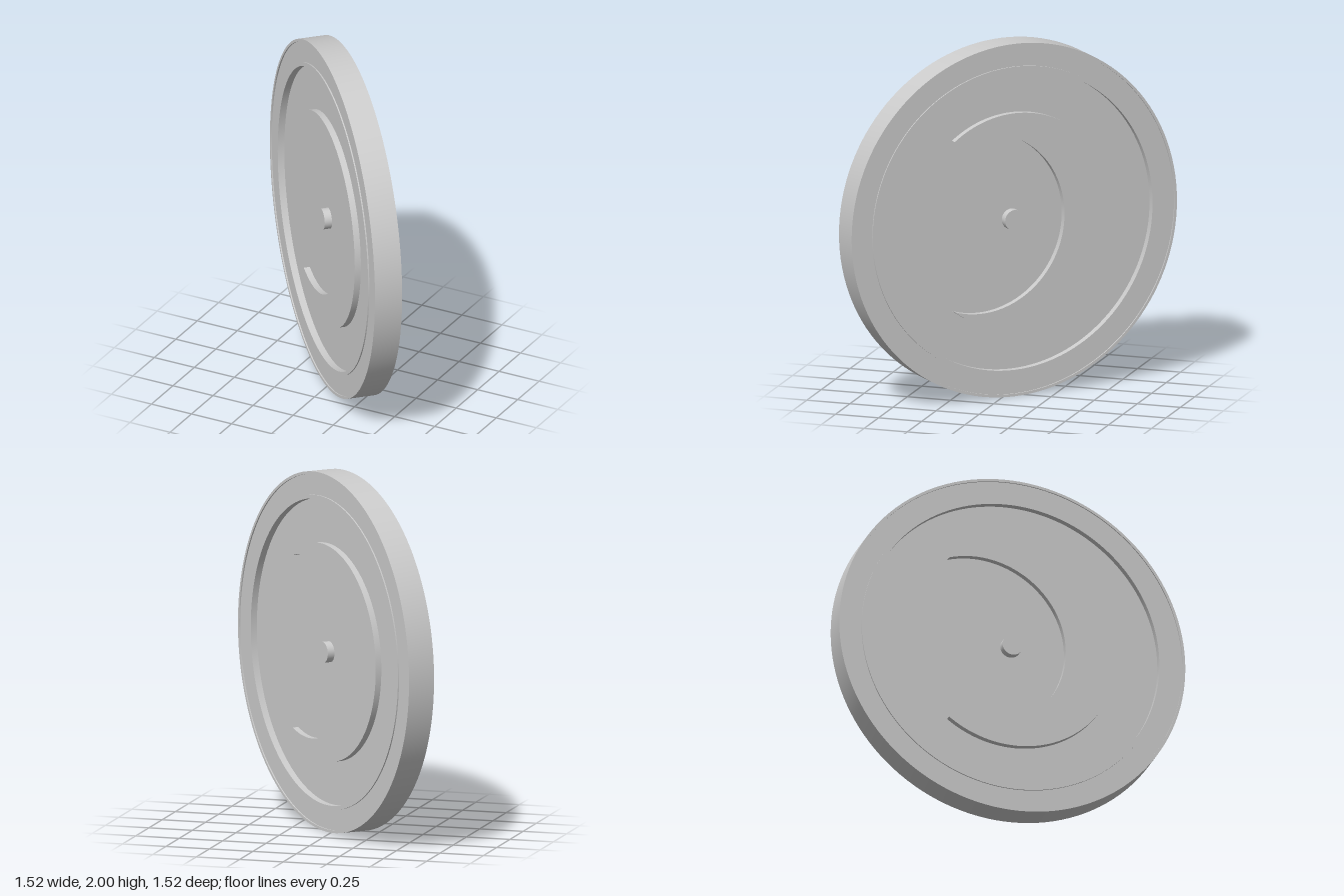
import * as THREE from 'three';
import { toCreasedNormals } from 'three/addons/utils/BufferGeometryUtils.js';

const FLOOR = 0.04; // distance of the recessed floor from the mid plane
const LIP = 0.078; // half thickness at the raised lips
const CHANNEL = 0.071; // shallow band between the lips

export function createModel() {
  const grey = new THREE.MeshStandardMaterial({ color: 0xcccccc });
  grey.name = 'light grey';

  const model = new THREE.Group();
  model.name = 'discModel';
  const disc = new THREE.Group();
  disc.name = 'disc';
  disc.position.y = 1;
  disc.rotation.y = -Math.PI / 4;
  model.add(disc);

  // Body: half profile from the centre to the rim, mirrored for the other side
  const half = [
    [0, FLOOR], [0.85, FLOOR], [0.85, LIP], [0.87, LIP],
    [0.87, CHANNEL], [0.985, CHANNEL], [0.985, LIP], [1, LIP],
  ];
  const profile = [
    ...half.map(([r, h]) => new THREE.Vector2(r, -h)),
    ...half.slice().reverse().map(([r, h]) => new THREE.Vector2(r, h)),
  ];
  const bodyGeometry = toCreasedNormals(new THREE.LatheGeometry(profile, 128), 0.6);
  bodyGeometry.rotateX(Math.PI / 2);
  const body = new THREE.Mesh(bodyGeometry, grey);
  body.name = 'body';
  disc.add(body);

  // Crescent: a large arc closed by a smaller, offset arc
  const R = 0.605, r = 0.51, offset = -0.2;
  const tipX = (R * R - r * r + offset * offset) / (2 * offset);
  const tipY = Math.sqrt(R * R - tipX * tipX);
  const outer = Math.atan2(tipY, tipX);
  const inner = Math.atan2(tipY, tipX - offset);
  const crescentShape = new THREE.Shape();
  crescentShape.absarc(0, 0, R, -outer, outer, false);
  crescentShape.absarc(offset, 0, r, inner, -inner, true);
  const crescentGeometry = toCreasedNormals(new THREE.ExtrudeGeometry(crescentShape, {
    depth: 0.037, bevelEnabled: false, curveSegments: 64,
  }), 0.6);
  crescentGeometry.translate(0, 0, FLOOR - 0.002);

  // Centre pin
  const pinGeometry = new THREE.CylinderGeometry(0.058, 0.058, 0.044, 40);
  pinGeometry.rotateX(Math.PI / 2);
  pinGeometry.translate(0, 0, FLOOR + 0.02);

  // The same relief on both faces, turned half way round
  ['front', 'back'].forEach((name, i) => {
    const relief = new THREE.Group();
    relief.name = name + 'Relief';
    relief.rotation.y = i * Math.PI;
    const crescent = new THREE.Mesh(crescentGeometry, grey);
    crescent.name = name + 'Crescent';
    const pin = new THREE.Mesh(pinGeometry, grey);
    pin.name = name + 'Pin';
    relief.add(crescent, pin);
    disc.add(relief);
  });

  return model;
}
